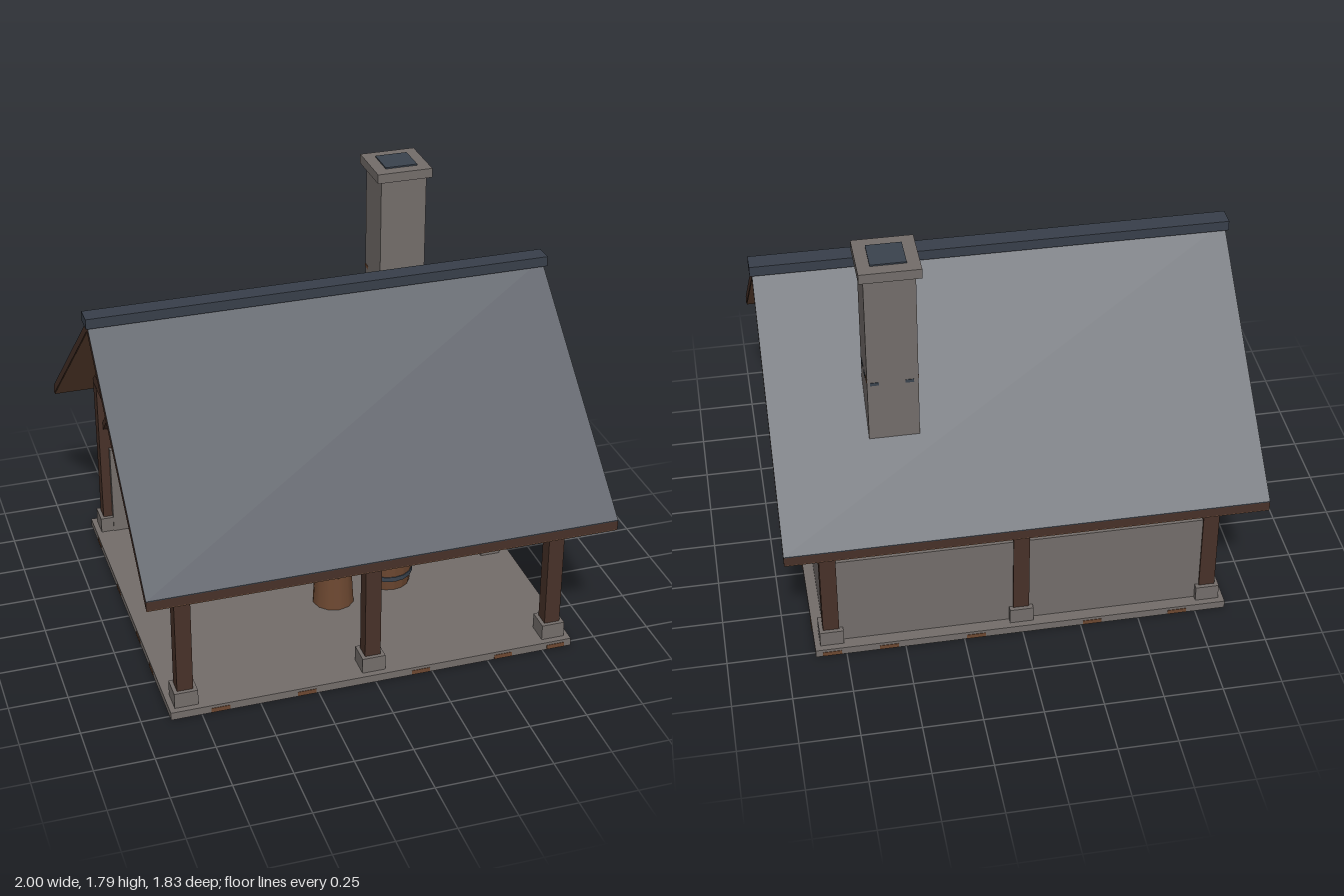
import * as THREE from 'three';

const paint = (name, color) => {
  const m = new THREE.MeshStandardMaterial({ color });
  m.name = name;
  return m;
};

export function createModel() {
  const stone = paint('stone', 0x736d6a);
  const slate = paint('slate', 0x383f4a);
  const iron = paint('iron', 0x3a434e);
  const timber = paint('dark timber', 0x473128);
  const plank = paint('plank', 0x6b4b38);
  const barrelWood = paint('barrel wood', 0x6d4831);
  const ember = paint('ember', 0xdb8038);

  const root = new THREE.Group();
  root.name = 'forgeShelter';

  const add = (name, geo, mat, x = 0, y = 0, z = 0, parent = root) => {
    const m = new THREE.Mesh(geo, mat);
    m.name = name;
    m.position.set(x, y, z);
    parent.add(m);
    return m;
  };
  // box given by its minimum and maximum on each axis
  const box = (name, mat, x0, x1, y0, y1, z0, z1, parent = root) =>
    add(name, new THREE.BoxGeometry(x1 - x0, y1 - y0, z1 - z0), mat,
      (x0 + x1) / 2, (y0 + y1) / 2, (z0 + z1) / 2, parent);
  // profile of [z, y] points extruded along x, centred on x
  const profile = (name, mat, pts, width, x = 0) => {
    const s = new THREE.Shape(pts.map(([z, y]) => new THREE.Vector2(-z, y)));
    const g = new THREE.ExtrudeGeometry(s, { depth: width, bevelEnabled: false });
    g.translate(0, 0, -width / 2).rotateY(Math.PI / 2);
    return add(name, g, mat, x);
  };

  // stone floor with worn timber chips let into its edges
  box('floor', stone, -0.88, 0.88, 0, 0.035, -0.777, 0.777);
  for (const s of [-1, 1]) {
    for (const x of [-0.67, -0.3, 0.2, 0.57, 0.81])
      box('edgeChip', barrelWood, x - 0.04, x + 0.04, 0.002, 0.022, s * 0.777 - 0.002, s * 0.777 + 0.002);
    for (const z of [-0.59, -0.19, 0.19, 0.43])
      box('edgeChip', barrelWood, s * 0.88 - 0.002, s * 0.88 + 0.002, 0.006, 0.024, z - 0.035, z + 0.035);
  }

  // posts on stone footings
  for (const x of [-0.807, 0, 0.807])
    for (const z of [-0.7, 0.7]) {
      box('footing', stone, x - 0.05, x + 0.05, 0.035, 0.105, z - 0.05, z + 0.05);
      box('post', timber, x - 0.034, x + 0.034, 0.1, 0.78, z - 0.033, z + 0.033);
    }

  // top beams, tie beams and diagonal braces
  for (const z of [-0.7, 0.7])
    box('eaveBeam', timber, -0.84, 0.84, 0.775, 0.83, z - 0.035, z + 0.035);
  for (const x of [-0.807, 0, 0.807])
    box('tieBeam', timber, x - 0.033, x + 0.033, 0.775, 0.838, -0.73, 0.73);
  for (const x of [-0.807, 0.807])
    for (const s of [-1, 1]) {
      const b = add('brace', new THREE.BoxGeometry(0.028, 0.028, 0.29), timber, x, 0.682, s * 0.57);
      b.rotation.x = s * Math.PI / 4;
    }

  // gables and layered roof
  for (const x of [-0.807, 0.807])
    profile('gable', plank, [[0.69, 0.838], [-0.69, 0.838], [0, 1.42]], 0.03, x);
  const chevron = (top, bottom) => [[0.915, 0.694 + top], [0, 1.46 + top], [-0.915, 0.694 + top],
    [-0.915, 0.694 + bottom], [0, 1.46 + bottom], [0.915, 0.694 + bottom]];
  profile('roofDeck', timber, chevron(-0.004, -0.043), 1.98);
  profile('roofSlate', slate, chevron(0, -0.004), 1.98);
  profile('roofLining', plank, chevron(-0.043, -0.047), 1.976);
  box('ridgeCap', slate, -1, 1, 1.445, 1.489, -0.041, 0.041);

  // low stone walls
  box('backWall', stone, -0.8, 0.8, 0.035, 0.465, -0.725, -0.645);
  box('sideWall', stone, 0.745, 0.835, 0.035, 0.465, -0.66, 0.06);

  // hearth: rim open at the front over a bed of embers
  box('hearthBody', stone, 0.25, 0.745, 0.035, 0.29, -0.645, -0.15);
  box('hearthRim', stone, 0.25, 0.34, 0.29, 0.345, -0.645, -0.15);
  box('hearthRim', stone, 0.65, 0.745, 0.29, 0.345, -0.645, -0.15);
  box('hearthRim', stone, 0.34, 0.65, 0.29, 0.345, -0.645, -0.48);
  box('hearthBack', iron, 0.34, 0.65, 0.29, 0.345, -0.48, -0.475);
  box('emberBed', ember, 0.34, 0.65, 0.285, 0.315, -0.475, -0.29);
  box('hearthPoker', barrelWood, 0.615, 0.735, 0.237, 0.243, -0.15, -0.143);

  // smoke hood and chimney
  add('smokeHood', new THREE.CylinderGeometry(0.12, 0.22, 0.25, 24), stone, 0.495, 0.715, -0.478);
  box('chimney', stone, 0.392, 0.597, 0.83, 1.745, -0.58, -0.378);
  box('chimneyCap', stone, 0.37, 0.616, 1.74, 1.782, -0.602, -0.358);
  box('flue', iron, 0.422, 0.565, 1.775, 1.788, -0.55, -0.41);

  // small iron and wood chips showing through the chimney faces
  for (const x of [0.392, 0.597]) {
    box('chimneyChip', iron, x - 0.002, x + 0.002, 1.238, 1.25, -0.45, -0.4);
    box('chimneyChip', iron, x - 0.002, x + 0.002, 1.236, 1.248, -0.52, -0.48);
    box('chimneyChip', barrelWood, x - 0.002, x + 0.002, 1.252, 1.266, -0.578, -0.54);
  }
  for (const x of [0.41, 0.55])
    box('chimneyChip', iron, x, x + 0.035, 1.238, 1.252, -0.582, -0.578);

  // tool rack against the back wall
  const rack = new THREE.Group();
  rack.name = 'toolRack';
  root.add(rack);
  for (const x of [-0.685, -0.155])
    box('rackPost', timber, x - 0.014, x + 0.014, 0.035, 0.56, -0.638, -0.61, rack);
  box('rackBar', timber, -0.7, -0.14, 0.55, 0.577, -0.64, -0.605, rack);
  [0.335, 0.36, 0.37, 0.34, 0.325].forEach((y, i) => {
    const x = -0.605 + i * 0.0925;
    box('toolHandle', timber, x - 0.007, x + 0.007, y, 0.555, -0.612, -0.598, rack);
    box('toolHead', iron, x - 0.022, x + 0.022, y - 0.018, y + 0.018, -0.62, -0.59, rack);
  });

  // iron bars stacked on the floor
  for (const [x0, y] of [[-0.605, 0.035], [-0.33, 0.035], [-0.65, 0.058], [-0.405, 0.058]])
    box('ironBar', iron, x0, x0 + 0.11, y, y + 0.022, -0.43, -0.38);

  // quench barrel: bulged staves, two hoops, sunken water
  const barrel = new THREE.Group();
  barrel.name = 'barrel';
  barrel.position.set(0.28, 0.035, 0.102);
  root.add(barrel);
  const stave = [[0, 0], [0.098, 0], [0.106, 0.06], [0.108, 0.11], [0.105, 0.16], [0.1, 0.19],
    [0.09, 0.19], [0.09, 0.17], [0, 0.17]].map(p => new THREE.Vector2(...p));
  const staves = add('staves', new THREE.LatheGeometry(stave, 16).toNonIndexed(), barrelWood, 0, 0, 0, barrel);
  staves.geometry.computeVertexNormals();
  for (const y of [0.06, 0.165])
    add('hoop', new THREE.CylinderGeometry(0.11, 0.11, 0.022, 16), iron, 0, y, 0, barrel);
  add('water', new THREE.CircleGeometry(0.089, 16), slate, 0, 0.173, 0, barrel).rotation.x = -Math.PI / 2;

  // anvil on a stump, with a hammer lying on it
  const anvil = new THREE.Group();
  anvil.name = 'anvil';
  anvil.position.set(0, 0, 0.187);
  root.add(anvil);
  add('stump', new THREE.CylinderGeometry(0.082, 0.092, 0.157, 12), barrelWood, 0, 0.113, 0, anvil);
  box('anvilFoot', iron, -0.05, 0.05, 0.19, 0.212, -0.04, 0.04, anvil);
  box('anvilWaist', iron, -0.03, 0.03, 0.212, 0.25, -0.025, 0.025, anvil);
  box('anvilFace', iron, -0.11, 0.077, 0.25, 0.287, -0.042, 0.042, anvil);
  const horn = add('anvilHorn', new THREE.ConeGeometry(0.017, 0.048, 12), iron, -0.132, 0.268, 0, anvil);
  horn.rotation.z = Math.PI / 2;
  box('hammerHandle', timber, -0.006, 0.006, 0.294, 0.304, -0.04, 0.093, anvil);
  box('hammerHead', iron, -0.03, 0.03, 0.287, 0.31, -0.055, -0.03, anvil);

  // bellows fixed to the side of the hearth
  box('bellows', barrelWood, 0.05, 0.21, 0.17, 0.228, -0.45, -0.28);
  const nozzle = add('bellowsNozzle', new THREE.CylinderGeometry(0.012, 0.02, 0.05, 10), iron, 0.23, 0.197, -0.365);
  nozzle.rotation.z = -Math.PI / 2;

  return root;
}
